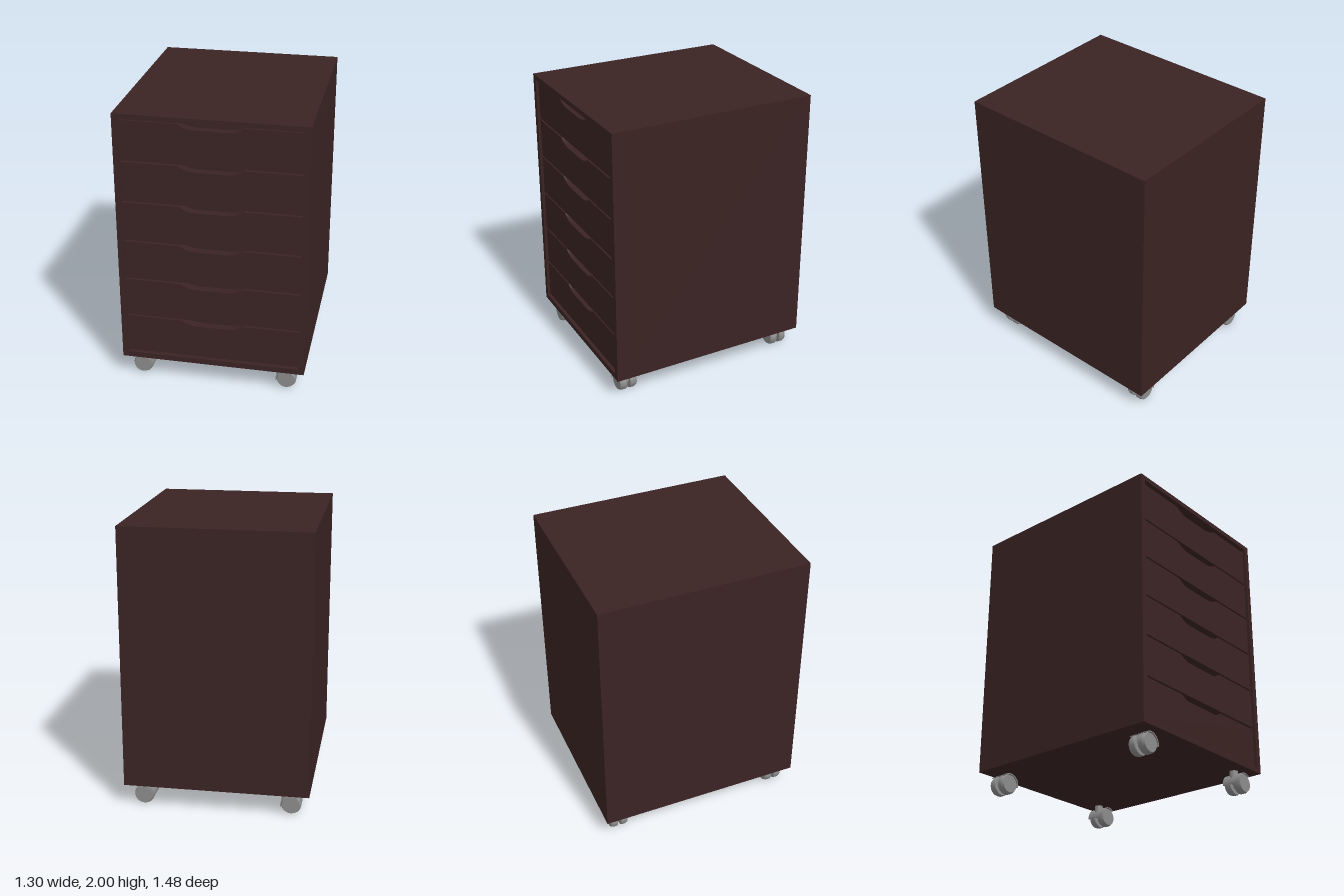
import * as THREE from 'three';

const wood = new THREE.MeshStandardMaterial({ color: 0x3b2323 });
wood.name = 'dark brown wood';
const metal = new THREE.MeshStandardMaterial({ color: 0x8c8c8c });
metal.name = 'caster grey';

function add(parent, name, geometry, material, x = 0, y = 0, z = 0) {
  const mesh = new THREE.Mesh(geometry, material);
  mesh.name = name;
  mesh.position.set(x, y, z);
  parent.add(mesh);
  return mesh;
}

function rect(target, x0, y0, x1, y1) {
  target.moveTo(x0, y0);
  target.lineTo(x1, y0);
  target.lineTo(x1, y1);
  target.lineTo(x0, y1);
  target.closePath();
  return target;
}

// Drawer front with a shallow finger scoop cut into its top edge
function drawerFront(halfWidth, height, depth) {
  const s = new THREE.Shape();
  s.moveTo(-halfWidth, 0);
  s.lineTo(halfWidth, 0);
  s.lineTo(halfWidth, height);
  s.lineTo(0.22, height);
  s.quadraticCurveTo(0.17, height - 0.037, 0.1, height - 0.037);
  s.lineTo(-0.1, height - 0.037);
  s.quadraticCurveTo(-0.17, height - 0.037, -0.22, height);
  s.lineTo(-halfWidth, height);
  s.closePath();
  return new THREE.ExtrudeGeometry(s, { depth, bevelEnabled: false, curveSegments: 10 });
}

// Curved fender wrapping the inner and upper side of the wheels
function fender(depth) {
  const a0 = -0.15, a1 = 2.25;
  const s = new THREE.Shape();
  s.absarc(0, 0, 0.074, a0, a1, false);
  s.absarc(0, 0, 0.068, a1, a0, true);
  s.closePath();
  const g = new THREE.ExtrudeGeometry(s, { depth, bevelEnabled: false, curveSegments: 16 });
  return g.translate(0, 0, -depth / 2);
}

// Twin-wheel caster, fender facing +x
function caster() {
  const group = new THREE.Group();
  const profile = [[0, -0.026], [0.066, -0.026], [0.07, -0.02], [0.07, 0.008], [0.062, 0.026], [0, 0.026]];
  // Separate bands keep the wheel rims crisp
  for (const side of [-1, 1]) {
    const wheel = new THREE.Group();
    wheel.name = 'wheel';
    for (let i = 0; i < profile.length - 1; i++) {
      const band = [profile[i], profile[i + 1]].map(p => new THREE.Vector2(p[0], p[1]));
      add(wheel, 'wheelSurface', new THREE.LatheGeometry(band, 32), metal);
    }
    wheel.rotation.x = side * Math.PI / 2;
    wheel.position.set(0, 0.072, side * 0.038);
    group.add(wheel);
  }
  const hub = add(group, 'hub', new THREE.CylinderGeometry(0.036, 0.036, 0.03, 24), metal, 0, 0.072, 0);
  hub.rotation.x = Math.PI / 2;
  add(group, 'centreWeb', new THREE.BoxGeometry(0.06, 0.065, 0.022), metal, 0.03, 0.1, 0);
  add(group, 'fender', fender(0.14), metal, 0, 0.072, 0);
  add(group, 'stem', new THREE.CylinderGeometry(0.03, 0.03, 0.05, 24), metal, 0.036, 0.137, 0);
  return group;
}

export function createModel() {
  const model = new THREE.Group();
  model.name = 'drawerCabinet';

  // Carcass: solid body with a front frame around the drawers
  add(model, 'body', new THREE.BoxGeometry(1.3, 1.84, 1.4), wood, 0, 1.08, -0.04);
  const frame = rect(new THREE.Shape(), -0.65, 0.16, 0.65, 2);
  frame.holes.push(rect(new THREE.Path(), -0.61, 0.2, 0.61, 1.965));
  add(model, 'frontFrame', new THREE.ExtrudeGeometry(frame, { depth: 0.08, bevelEnabled: false }), wood, 0, 0, 0.66);

  // Six equal drawers, slightly recessed
  const front = drawerFront(0.608, 0.28, 0.06);
  for (let i = 0; i < 6; i++) {
    add(model, 'drawerFront', front, wood, 0, 0.208 + i * 0.2925, 0.66);
  }

  // Four casters, fenders turned inward
  for (const sx of [-1, 1]) {
    for (const sz of [-1, 1]) {
      const c = caster();
      c.name = 'caster';
      c.position.set(sx * 0.52, 0, sz * 0.625);
      c.rotation.y = sx > 0 ? Math.PI : 0;
      model.add(c);
    }
  }
  return model;
}
